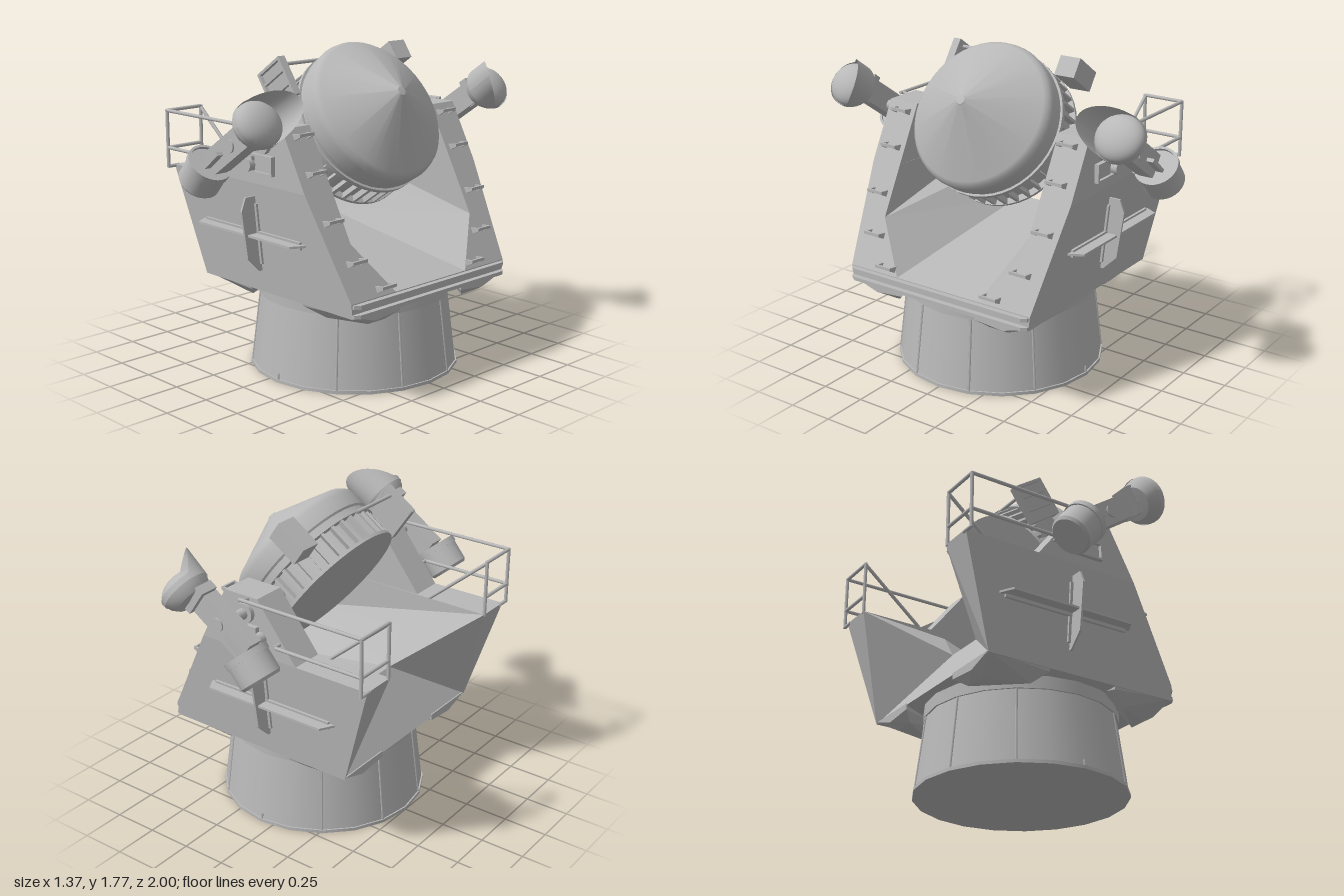
import * as THREE from 'three';
import { toCreasedNormals } from 'three/addons/utils/BufferGeometryUtils.js';
import { ConvexGeometry } from 'three/addons/geometries/ConvexGeometry.js';

const V = (x, y, z) => new THREE.Vector3(x, y, z);
const TILT = -0.966; // turns local +y onto the upward-forward aiming axis
const slopeX = y => 0.65 - (y - 0.57) * 0.527; // sloping front plane

export function createModel() {
  const root = new THREE.Group();
  const grey = new THREE.MeshStandardMaterial({ color: 0xb8b8b8, side: THREE.DoubleSide });
  grey.name = 'naval grey';

  const add = (name, geo, parent = root, pos = [0, 0, 0]) => {
    const m = new THREE.Mesh(geo, grey);
    m.name = name;
    m.position.set(...pos);
    parent.add(m);
    return m;
  };
  const box = (name, size, pos, parent) => add(name, new THREE.BoxGeometry(...size), parent, pos);
  const group = (name, pos, parent = root) => {
    const g = new THREE.Group();
    g.name = name;
    g.position.set(...pos);
    parent.add(g);
    return g;
  };
  const rod = (name, a, b, r, parent = root, sides = 8) => {
    const p = V(...a), q = V(...b), d = q.clone().sub(p);
    const m = add(name, new THREE.CylinderGeometry(r, r, d.length(), sides), parent);
    m.position.copy(p).add(q).multiplyScalar(0.5);
    m.quaternion.setFromUnitVectors(V(0, 1, 0), d.normalize());
    return m;
  };
  const hull = (name, pts, parent) => add(name, new ConvexGeometry(pts.map(p => V(...p))), parent);
  const prism = (name, outline, z0, z1, parent) =>
    hull(name, outline.flatMap(([x, y]) => [[x, y, z0], [x, y, z1]]), parent);
  const lathe = (name, pts, parent, segs = 48) => add(name, toCreasedNormals(
    new THREE.LatheGeometry(pts.map(p => new THREE.Vector2(...p)), segs), 0.5), parent);

  // Pedestal with flange, ribs and bearing ring
  const base = group('pedestal', [0.075, 0, 0]);
  add('pedestalDrum', new THREE.CylinderGeometry(0.52, 0.572, 0.42, 20), base, [0, 0.21, 0]);
  add('pedestalFlange', new THREE.CylinderGeometry(0.578, 0.578, 0.018, 20), base, [0, 0.009, 0]);
  add('bearingRing', new THREE.CylinderGeometry(0.53, 0.53, 0.07, 20), base, [0, 0.45, 0]);
  for (let i = 0; i < 10; i++) {
    const a = (18 + 36 * i) * Math.PI / 180, c = Math.cos(a), s = Math.sin(a);
    const top = i % 5 === 2 ? 0.05 : 0.42, r1 = 0.572 - 0.052 * top / 0.42;
    rod('pedestalRib', [0.57 * c, 0.01, 0.57 * s], [r1 * c, top, r1 * s], 0.008, base, 4);
  }

  // Faceted turret housing with an open basin for the radar drum
  const deckX = slopeX(1.09);
  const P = {
    A: [-0.68, 1.09, 0.645], B: [-0.68, 1.09, 0.45], C: [-0.5, 0.49, 0.58], D: [-0.29, 0.79, 0.12],
    E: [deckX, 1.09, 0.46], F: [slopeX(0.83), 0.83, 0.46], K: [0.65, 0.57, 0.27],
    G: [deckX, 1.09, 0.645], H: [0.65, 0.57, 0.589], I: [0.65, 0.49, 0.58], M: [-0.25, 0.96, 0.28],
  };
  for (const k of Object.keys(P)) P[k.toLowerCase()] = [P[k][0], P[k][1], -P[k][2]];
  const swap = c => (c < 'a' ? c.toLowerCase() : c.toUpperCase());
  const half = ['ACIHG', 'ABC', 'BDC', 'BMD', 'AGEB', 'FEGHK', 'FKD', 'FDM', 'FMB', 'EFB'];
  const mirrored = half.map(f => f[0] + [...f.slice(1)].reverse().join(''))
    .map(f => [...f].map(swap).join(''));
  const verts = [];
  for (const f of [...half, ...mirrored, 'CDdc', 'HIih', 'KkdD', 'CciI'])
    for (let i = 1; i < f.length - 1; i++) verts.push(...P[f[0]], ...P[f[i]], ...P[f[i + 1]]);
  const shell = new THREE.BufferGeometry();
  shell.setAttribute('position', new THREE.Float32BufferAttribute(verts, 3));
  shell.computeVertexNormals();
  add('turretHousing', shell);
  for (const y of [0.505, 0.555])
    hull('frontLip', [-1, 1].flatMap(s => [-0.01, 0.01].flatMap(d =>
      [[0.64, y + d, 0.58 * s], [0.66, y + d, 0.58 * s], [0.68, y + d, 0.55 * s]])));

  // Radar drum, ribs and conical cover, built along local +y
  const radar = group('radar', [0.26, 1.435, 0]);
  radar.rotation.z = TILT;
  lathe('radarCover', [[0.4, -0.12], [0.408, -0.11], [0.413, -0.03], [0.405, 0],
    [0.385, 0.022], [0.03, 0.194], [0.025, 0.2], [0, 0.202]], radar);
  lathe('radarDrum', [[0, -0.33], [0.405, -0.33], [0.405, -0.312], [0.37, -0.312], [0.37, -0.165],
    [0.413, -0.165], [0.413, -0.14], [0.4, -0.14], [0.4, -0.12]], radar);
  for (let i = 0; i < 36; i++) {
    const a = i * Math.PI / 18;
    const rib = box('drumRib', [0.04, 0.15, 0.018], [0.383 * Math.cos(a), -0.239, 0.383 * Math.sin(a)], radar);
    rib.rotation.y = -a;
  }

  // Sight box on one flank, framed antenna panel on the other
  const sight = box('sightBox', [0.11, 0.19, 0.12], [-0.04, 1.645, -0.395]);
  sight.rotation.z = TILT;
  const panel = group('sidePanel', [-0.09, 1.57, 0.395]);
  panel.rotation.z = TILT;
  box('panelPlate', [0.22, 0.19, 0.02], [0, 0, -0.01], panel);
  box('panelBracket', [0.1, 0.12, 0.02], [0.15, 0, -0.01], panel);
  for (const s of [-1, 1]) {
    box('panelEdge', [0.22, 0.015, 0.045], [0, 0.095 * s, 0], panel);
    box('panelEnd', [0.015, 0.2, 0.045], [0.105 * s, 0, 0], panel);
    box('panelBar', [0.015, 0.18, 0.03], [0.04 * s, 0, 0.005], panel);
  }
  rod('panelRod', [-0.1, 1.67, 0.05], [-0.1, 1.67, 0.39], 0.01);

  for (const s of [1, -1]) {
    const side = group(s > 0 ? 'leftSide' : 'rightSide', [0, 0, 0]);

    // Support arm, trunnion and service hatch
    prism('supportArm', [[-0.24, 1.09], [0, 1.4], [slopeX(1.4), 1.4], [deckX, 1.09]],
      0.46 * s, 0.645 * s, side);
    rod('trunnion', [0.09, 1.3, 0.3 * s], [0.09, 1.3, 0.47 * s], 0.05, side, 24);
    box('hatch', [0.13, 0.08, 0.012], [0.075, 1.2, 0.648 * s], side);
    for (const k of [-1, 1]) {
      box('hatchFrame', [0.16, 0.012, 0.03], [0.075, 1.2 + 0.045 * k, 0.655 * s], side);
      box('hatchFrame', [0.012, 0.1, 0.03], [0.075 + 0.075 * k, 1.2, 0.655 * s], side);
    }
    rod('bearingCap', [-0.02, 1.19, 0.64 * s], [-0.02, 1.19, 0.69 * s], 0.035, side, 16);
    rod('bearingCollar', [0.075, 1.31, 0.64 * s], [0.075, 1.31, 0.67 * s], 0.055, side, 20);

    // Corner gussets under the housing
    for (const [x0, x1, x2, x3] of [[-0.5, -0.44, -0.2, -0.13], [0.65, 0.6, 0.38, 0.28]])
      hull('cornerGusset', [[x0, 0.5, 0.578 * s], [x0, 0.45, 0.42 * s], [x3, 0.5, 0.578 * s],
        [x3, 0.475, 0.57 * s], [x0, 0.5, 0.24 * s], [x0, 0.465, 0.24 * s], [x1, 0.42, 0.42 * s],
        [x2, 0.42, 0.5 * s], [x1, 0.42, 0.3 * s], [x3, 0.5, 0.45 * s]], side);

    // Cross-shaped fins on the flank: thin plates on base strips
    hull('verticalFin', [-0.024, -0.012].flatMap(x => [[x, 1.02, 0.62 * s], [x, 1.02, 0.7 * s],
      [x, 0.95, 0.728 * s], [x, 0.69, 0.69 * s], [x, 0.61, 0.61 * s], [x, 0.61, 0.57 * s]]), side);
    hull('verticalStrip', [-0.04, 0.004].flatMap(x => [[x, 0.98, 0.62 * s], [x, 0.98, 0.645 * s],
      [x, 0.65, 0.58 * s], [x, 0.65, 0.61 * s]]), side);
    hull('horizontalFin', [0.808, 0.82].flatMap(y => [[-0.47, y, 0.6 * s], [-0.42, y, 0.69 * s],
      [0.31, y, 0.69 * s], [0.36, y, 0.6 * s]]), side);
    hull('horizontalStrip', [-0.43, 0.32].flatMap(x => [[x, 0.79, 0.6 * s], [x, 0.79, 0.628 * s],
      [x, 0.832, 0.6 * s], [x, 0.832, 0.632 * s]]), side);

    // Guard rails around the rear deck
    const z = 0.69 * s, zi = 0.46 * s, x = -0.675, r = 0.01;
    rod('topRail', [x, 1.395, z], [0.08, 1.395, z], r, side);
    rod('midRail', [x, 1.19, z], [-0.15, 1.19, z], r, side);
    rod('rearTopRail', [x, 1.395, zi], [x, 1.395, z], r, side);
    rod('rearMidRail', [x, 1.19, zi], [x, 1.19, z], r, side);
    rod('outerPost', [x, 1.08, z], [x, 1.4, z], r, side);
    rod('innerPost', [x, 1.08, zi], [x, 1.4, zi], r, side);
    rod('railBrace', [x, 1.39, zi], [-0.32, 1.09, zi], r, side);
    for (const px of [-0.14, 0.06]) rod('railStay', [px, px < 0 ? 1.19 : 1.395, z],
      [px, px < 0 ? 1.19 : 1.38, 0.6 * s], r, side);
    rod('footStay', [x, 1.085, 0.62 * s], [x, 1.085, z], r, side);

    // Climbing steps on the sloping front
    for (const [y, zc] of [[1.35, 0.54], [1.17, 0.54], [0.94, 0.54], [0.74, 0.48], [0.6, 0.345]]) {
      const step = group('step', [slopeX(y), y, zc * s], side);
      box('stepTread', [0.012, 0.016, 0.1], [0.04, 0.018, 0], step);
      for (const k of [-1, 1])
        hull('stepLeg', [0.039, 0.051].flatMap(d => [[0.046, 0.026, d * k], [0.046, 0.01, d * k],
          [-0.01, 0.02, d * k], [0.005, -0.012, d * k]]), step);
    }

    // Outrigger tracker: shaft, beam, rear canister and hooded dome
    rod('trackerShaft', [0.075, 1.31, 0.63 * s], [0.075, 1.31, 0.85 * s], 0.03, side, 16);
    const beam = group('trackerBeam', [0.07, 1.325, 0.82 * s], side);
    beam.rotation.z = TILT;
    box('beamBody', [0.13, 0.4, 0.09], [0, 0, 0], beam);
    rod('beamBoss', [0, 0, 0], [0, 0, 0.055 * s], 0.035, beam, 16);
    box('domeBracket', [0.16, 0.05, 0.11], [-0.01, 0.17, 0.02 * s], beam);
    const gusset = box('canisterGusset', [0.02, 0.15, 0.09], [-0.045, 1.235, 0.86 * s], side);
    gusset.rotation.z = -0.9;

    const can = group('rearCanister', [-0.143, 1.16, 0.86 * s], side);
    can.rotation.z = -0.7;
    lathe('canisterBody', [[0, -0.09], [0.1, -0.09], [0.112, -0.075], [0.112, 0.04], [0.119, 0.04],
      [0.119, 0.075], [0.105, 0.075], [0.105, 0.06], [0, 0.06]], can, 32);

    const dome = group('trackerDome', [0.285, 1.46, 0.862 * s], side);
    dome.rotation.z = TILT;
    const ball = add('domeLens', new THREE.SphereGeometry(0.124, 32, 16), dome);
    ball.scale.set(1, 0.62, 1.08);
    const back = lathe('domeBack', [[0, -0.075], [0.09, -0.07], [0.115, -0.04], [0.128, 0]], dome, 32);
    back.scale.z = 1.08;
    // Hood lip grows broadly toward the inner, slightly upper side
    const hood = new THREE.CylinderGeometry(0.128, 0.128, 0.03, 40, 5, true);
    const p = hood.attributes.position;
    for (let i = 0; i < p.count; i++) {
      const px = p.getX(i), pz = p.getZ(i), t = (p.getY(i) + 0.015) / 0.03;
      const w = Math.max(0, (-0.2 * px - 0.98 * pz * s) / 0.128);
      p.setXYZ(i, px, -0.015 + t * (0.03 + 0.165 * w), pz * (1.08 + 0.2 * w * t));
    }
    hood.computeVertexNormals();
    add('domeHood', hood, dome);
  }
  return root;
}
